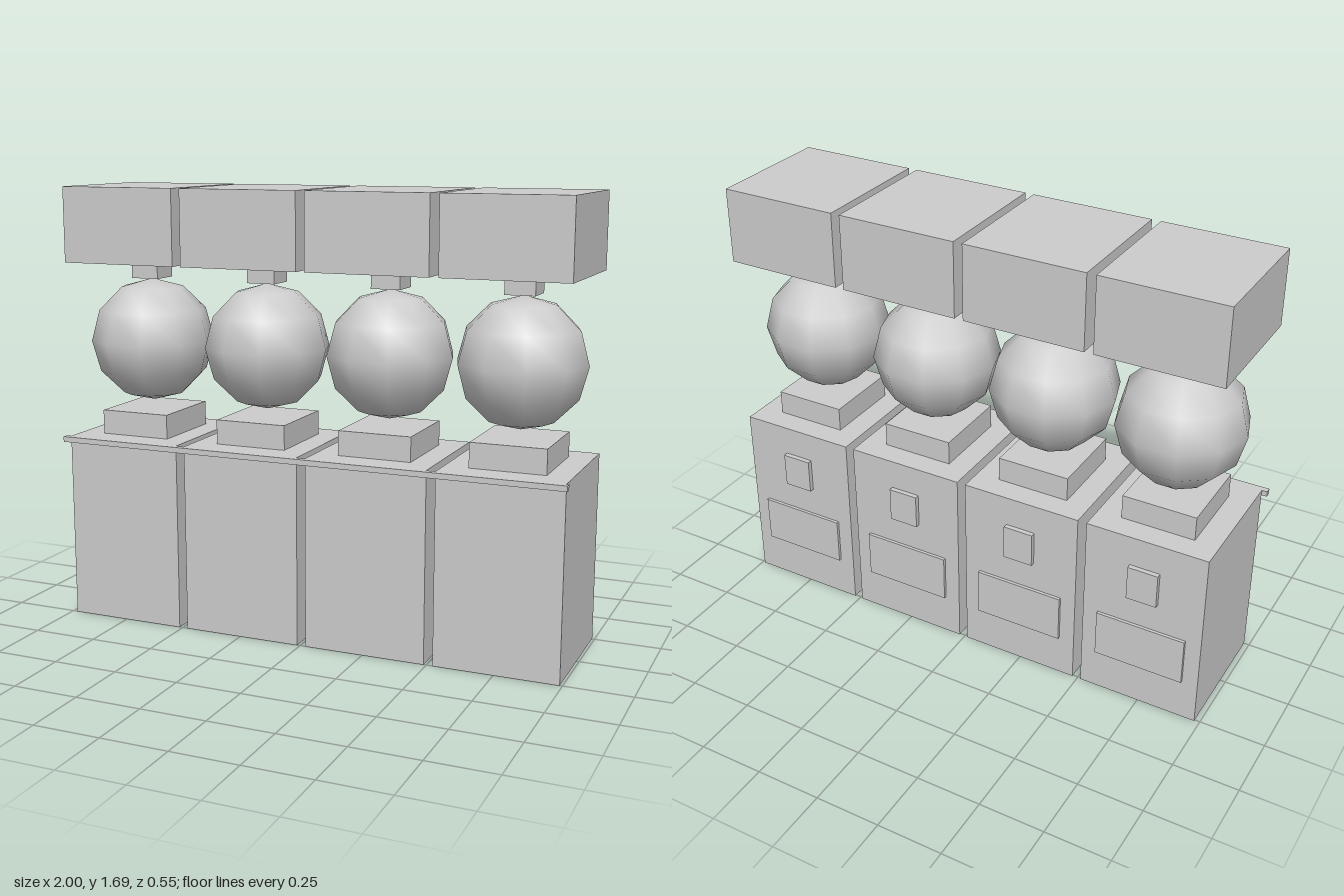
import * as THREE from 'three';

const grey = new THREE.MeshStandardMaterial({ color: 0xcccccc, side: THREE.DoubleSide });
grey.name = 'light grey';

const midZ = -0.002;
const backZ = -0.256;

function add(parent, name, geometry, x, y, z) {
  const mesh = new THREE.Mesh(geometry, grey);
  mesh.name = name;
  mesh.position.set(x, y, z);
  parent.add(mesh);
  return mesh;
}

// Box given by its size, bottom height and centre depth
function addBox(parent, name, w, h, d, bottom, z = midZ) {
  return add(parent, name, new THREE.BoxGeometry(w, h, d), 0, bottom + h / 2, z);
}

// Box shell without its underside
function openBottomBox(w, h, d) {
  const box = new THREE.BoxGeometry(w, h, d);
  const index = Array.from(box.index.array);
  index.splice(18, 6); // the downward face
  box.setIndex(index);
  box.clearGroups();
  return box;
}

function makeUnit() {
  const unit = new THREE.Group();
  addBox(unit, 'cabinet', 0.467, 0.722, 0.508, 0);
  addBox(unit, 'plinth', 0.283, 0.094, 0.32, 0.722);

  // Low-polygon smooth globe
  add(unit, 'globe', new THREE.SphereGeometry(0.242, 10, 6), 0, 1.085, midZ);
  addBox(unit, 'neck', 0.113, 0.07, 0.116, 1.33);

  // Hollow hood, open below
  add(unit, 'hood', openBottomBox(0.467, 0.288, 0.508), 0, 1.544, midZ);

  // Raised plates on the back of the cabinet
  addBox(unit, 'upperBackPlate', 0.117, 0.135, 0.019, 0.47, backZ - 0.0095);
  addBox(unit, 'lowerBackPlate', 0.347, 0.185, 0.012, 0.166, backZ - 0.006);
  return unit;
}

export function createModel() {
  const model = new THREE.Group();
  model.name = 'cabinetRow';

  // Four identical units side by side
  for (let i = 0; i < 4; i++) {
    const unit = makeUnit();
    unit.name = `unit${i + 1}`;
    unit.position.x = -0.746 + i * 0.501;
    model.add(unit);
  }

  // Rail along the front edge
  addBox(model, 'frontRail', 2, 0.021, 0.023, 0.701, 0.2635);
  return model;
}
